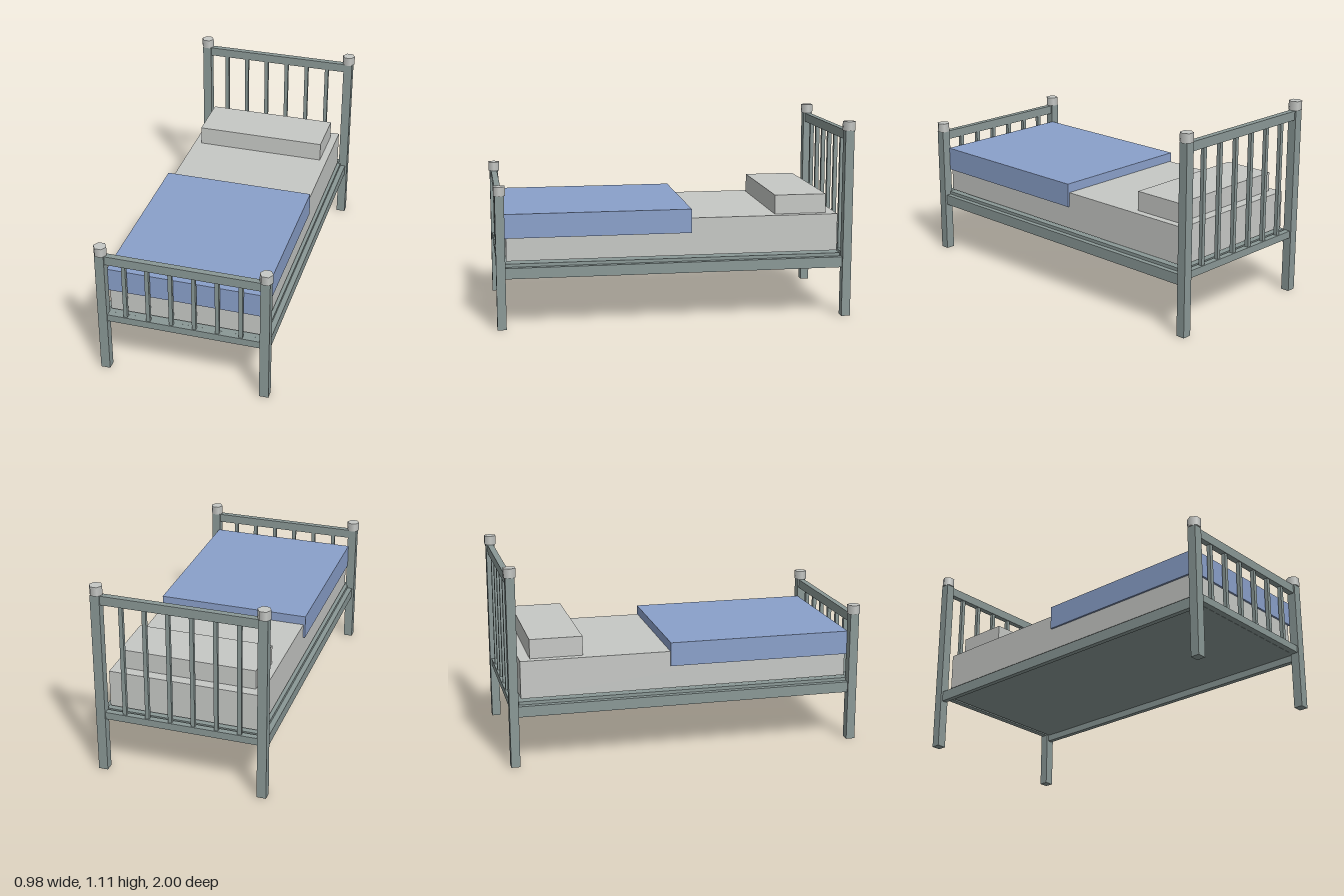
import * as THREE from 'three';

export function createModel() {
  const bed = new THREE.Group();
  bed.name = 'bed';
  const mat = (name, color) => {
    const m = new THREE.MeshStandardMaterial({ color });
    m.name = name;
    return m;
  };
  const metal = mat('grey green metal', 0x8a9896);
  const linen = mat('pale linen', 0xc6c8c5);
  const blue = mat('blue blanket', 0x8aa0ca);

  // Box given by its limits on each axis
  const box = (parent, name, material, [x0, x1], [y0, y1], [z0, z1]) => {
    const mesh = new THREE.Mesh(new THREE.BoxGeometry(x1 - x0, y1 - y0, z1 - z0), material);
    mesh.position.set((x0 + x1) / 2, (y0 + y1) / 2, (z0 + z1) / 2);
    mesh.name = name;
    parent.add(mesh);
  };

  const postX = 0.452, postHalf = 0.026, capR = 0.0365, capH = 0.051;
  const endZ = 1 - capR * Math.cos(Math.PI / 6);

  // Posts, hexagonal caps, rails and bars of one bed end
  const bedEnd = (name, z, height) => {
    const end = new THREE.Group();
    end.name = name;
    const railZ = [z - 0.017, z + 0.017];
    const capBase = height - capH;
    for (const side of [-1, 1]) {
      const x = side * postX;
      box(end, 'post', metal, [x - postHalf, x + postHalf], [0, capBase], [z - 0.025, z + 0.025]);
      const cap = new THREE.Mesh(new THREE.CylinderGeometry(capR, capR, capH, 6, 1, false, Math.PI / 2), linen);
      cap.position.set(x, capBase + capH / 2, z);
      cap.name = 'postCap';
      end.add(cap);
    }
    box(end, 'topRail', metal, [-postX, postX], [capBase - 0.053, capBase - 0.002], railZ);
    box(end, 'lowerRail', metal, [-postX, postX], [0.319, 0.36], railZ);
    for (let i = 0; i < 6; i++) {
      const x = -0.325 + i * 0.1285;
      box(end, 'bar', metal, [x - 0.011, x + 0.011], [0.35, capBase - 0.045], [z - 0.011, z + 0.011]);
    }
    bed.add(end);
  };
  bedEnd('footboard', endZ, 0.792);
  bedEnd('headboard', -endZ, 1.107);

  // Frame
  for (const side of [-1, 1]) {
    const inner = side * 0.437, outer = side * 0.466;
    box(bed, 'sideRail', metal, [Math.min(inner, outer), Math.max(inner, outer)], [0.281, 0.341], [-endZ, endZ]);
  }
  box(bed, 'bedBase', metal, [-0.437, 0.437], [0.319, 0.359], [-0.937, 0.95]);

  // Bedding
  box(bed, 'mattress', linen, [-0.421, 0.421], [0.371, 0.581], [-0.923, 0.936]);
  box(bed, 'pillow', linen, [-0.379, 0.379], [0.575, 0.689], [-0.864, -0.571]);
  box(bed, 'blanket', blue, [-0.432, 0.432], [0.499, 0.633], [-0.088, 0.947]);

  return bed;
}
